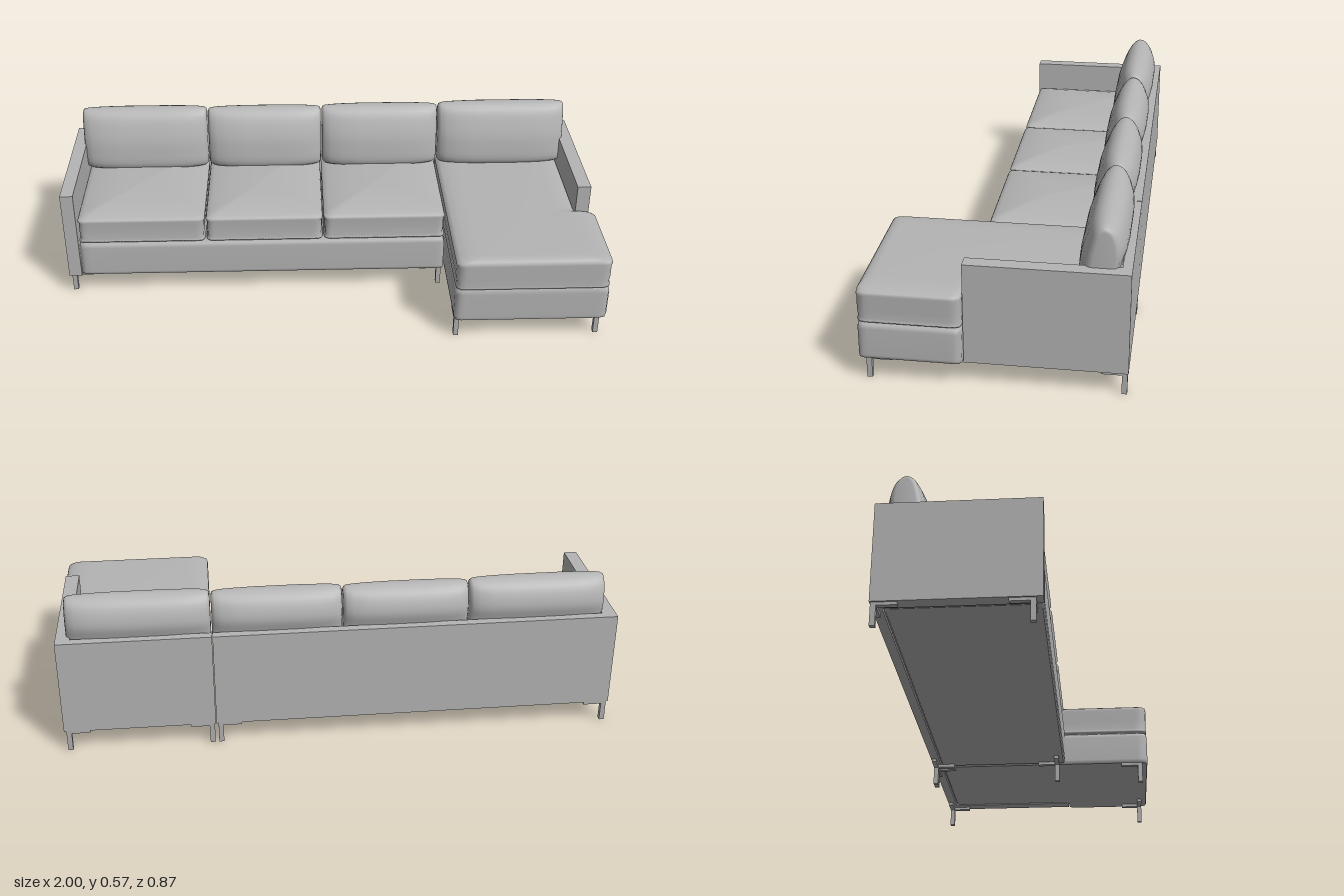
import * as THREE from 'three';

const fabric = new THREE.MeshStandardMaterial({ color: 0xb4b4b4 });
fabric.name = 'grey fabric';
const metal = new THREE.MeshStandardMaterial({ color: 0xb0b0b0 });
metal.name = 'grey metal';

// Closed skin over a stack of equal-length rings; a doubled ring makes a sharp edge
function loft(rings) {
  const n = rings[0].length, index = [];
  for (let r = 0; r < rings.length - 1; r++) {
    for (let i = 0; i < n; i++) {
      const j = (i + 1) % n, a = r * n + i, b = r * n + j;
      index.push(a, b, b + n, a, b + n, a + n);
    }
  }
  const g = new THREE.BufferGeometry();
  g.setAttribute('position', new THREE.Float32BufferAttribute(rings.flat(2), 3));
  g.setIndex(index);
  g.computeVertexNormals();
  return g;
}

// Polygon of [x, z] corners, rounded and evenly sampled
function roundedOutline(corners, radius) {
  const pts = corners.map(([x, z]) => new THREE.Vector2(x, -z));
  const path = new THREE.Path();
  pts.forEach((p, i) => {
    const before = pts[(i + pts.length - 1) % pts.length], after = pts[(i + 1) % pts.length];
    const start = p.clone().add(before.clone().sub(p).setLength(radius));
    const end = p.clone().add(after.clone().sub(p).setLength(radius));
    if (i === 0) path.moveTo(start.x, start.y); else path.lineTo(start.x, start.y);
    path.quadraticCurveTo(p.x, p.y, end.x, end.y);
  });
  path.closePath();
  return path.getSpacedPoints(160).slice(0, 160);
}

// Upholstered slab: levels are [inset, y], shrinking towards a centre point
function slab(corners, radius, [cx, cz], levels) {
  const outline = roundedOutline(corners, radius);
  const hx = Math.max(...outline.map(p => Math.abs(p.x - cx)));
  const hz = Math.max(...outline.map(p => Math.abs(p.y + cz)));
  return loft(levels.map(([inset, y]) => {
    const sx = Math.max(0, 1 - inset / hx), sz = Math.max(0, 1 - inset / hz);
    return outline.map(p => [cx + (p.x - cx) * sx, y, cz + (-p.y - cz) * sz]);
  }));
}

const rect = (x0, x1, z0, z1) => [[x0, z1], [x1, z1], [x1, z0], [x0, z0]];

// Leaning back pillow, lofted along x from one side section
function pillow(x0, x1, top) {
  const section = [
    [-0.345, top], [-0.31, top - 0.016], [-0.278, 0.49], [-0.262, 0.42], [-0.265, 0.34],
    [-0.33, 0.325], [-0.395, 0.34], [-0.405, 0.42], [-0.418, 0.48], [-0.392, top - 0.022],
  ].map(([z, y]) => new THREE.Vector3(0, y, z));
  const pts = new THREE.CatmullRomCurve3(section, true).getSpacedPoints(48).slice(0, 48);
  const cy = 0.44, cz = -0.35;
  // [distance from the end, depth scale, height scale]
  const ends = [[0, 0, 0], [0, 0.45, 0.85], [0.003, 0.58, 0.93], [0.012, 0.72, 0.965],
    [0.035, 0.84, 0.98], [0.08, 0.95, 0.99], [0.15, 1, 1]];
  const stations = [...ends.map(([d, a, b]) => [x0 + d, a, b]),
    ...ends.slice().reverse().map(([d, a, b]) => [x1 - d, a, b])];
  return loft(stations.map(([x, a, b]) =>
    pts.map(p => [x, cy + (p.y - cy) * b, cz + (p.z - cz) * a])));
}

export function createModel() {
  const sofa = new THREE.Group();
  sofa.name = 'sectionalSofa';

  const add = (name, geometry, material = fabric, parent = sofa) => {
    const mesh = new THREE.Mesh(geometry, material);
    mesh.name = name;
    parent.add(mesh);
    return mesh;
  };
  const box = (name, x0, x1, y0, y1, z0, z1, material, parent) =>
    add(name, new THREE.BoxGeometry(x1 - x0, y1 - y0, z1 - z0), material, parent)
      .position.set((x0 + x1) / 2, (y0 + y1) / 2, (z0 + z1) / 2);

  // Arms and back panels
  box('rightArm', -1, -0.952, 0.08, 0.433, -0.437, 0.1);
  box('leftArm', 0.922, 0.972, 0.08, 0.433, -0.437, 0.092);
  box('mainBackPanel', -0.952, 0.434, 0.08, 0.433, -0.437, -0.405);
  box('chaiseBackPanel', 0.436, 0.922, 0.08, 0.433, -0.437, -0.405);

  // Bases with softened edges
  const baseLevels = (y0, y1) => [[9, y0], [0.008, y0], [0.008, y0], [0.002, y0 + 0.004],
    [0, y0 + 0.015], [0, y1 - 0.02], [0.004, y1 - 0.006], [0.014, y1], [9, y1]];
  const chaise = [[0.437, 0.434], [0.996, 0.434], [0.996, 0.094], [0.92, 0.094],
    [0.92, -0.405], [0.437, -0.405]];
  add('mainBase', slab(rect(-0.951, 0.433, -0.405, 0.1), 0.008, [-0.26, -0.15], baseLevels(0.081, 0.222)));
  add('chaiseBase', slab(chaise, 0.022, [0.69, 0.2], baseLevels(0.081, 0.212)));

  // Seat cushions with a piped lip and a crowned top
  const edges = [[-0.95, -0.474], [-0.47, -0.03], [-0.026, 0.432]];
  edges.forEach(([x0, x1], i) => {
    add('seatCushion' + (i + 1), slab(rect(x0, x1, -0.403, 0.096), 0.022, [(x0 + x1) / 2, -0.155],
      [[9, 0.223], [0.012, 0.223], [0.002, 0.226], [0, 0.231], [0.006, 0.238], [0.003, 0.27],
        [0.005, 0.304], [0, 0.312], [0.004, 0.32], [0.02, 0.326], [0.06, 0.336], [0.12, 0.344],
        [0.18, 0.348], [9, 0.35]]));
  });
  add('chaiseCushion', slab(chaise, 0.03, [0.69, 0.2],
    [[9, 0.214], [0.012, 0.214], [0.002, 0.217], [0, 0.222], [0.006, 0.229], [0.002, 0.26],
      [0.003, 0.305], [0, 0.314], [0.003, 0.323], [0.018, 0.33], [0.05, 0.336], [0.1, 0.339], [9, 0.34]]));

  // Back pillows
  [[-0.96, -0.474, 0.571], [-0.47, -0.026, 0.567], [-0.022, 0.434, 0.57], [0.438, 0.936, 0.575]]
    .forEach(([x0, x1, top], i) => add('backPillow' + (i + 1), pillow(x0, x1, top)));

  // Corner legs: a slim post with two mounting strips running inwards
  const leg = (x, z, dx, dz) => {
    const group = new THREE.Group();
    group.name = 'leg';
    group.position.set(x, 0, z);
    const span = d => (d > 0 ? [-0.009, 0.075] : [-0.075, 0.009]);
    box('legPost', -0.009, 0.009, 0, 0.081, -0.009, 0.009, metal, group);
    box('legStripAcross', ...span(dx), 0.069, 0.081, -0.009, 0.009, metal, group);
    box('legStripAlong', -0.009, 0.009, 0.069, 0.081, ...span(dz), metal, group);
    sofa.add(group);
  };
  for (const [xr, xl, front] of [[-0.985, 0.418, 0.068], [0.449, 0.965, 0.403]]) {
    leg(xr, front, 1, -1);
    leg(xl, front, -1, -1);
    leg(xr, -0.425, 1, 1);
    leg(Math.min(xl, 0.955), -0.425, -1, 1);
  }
  return sofa;
}
